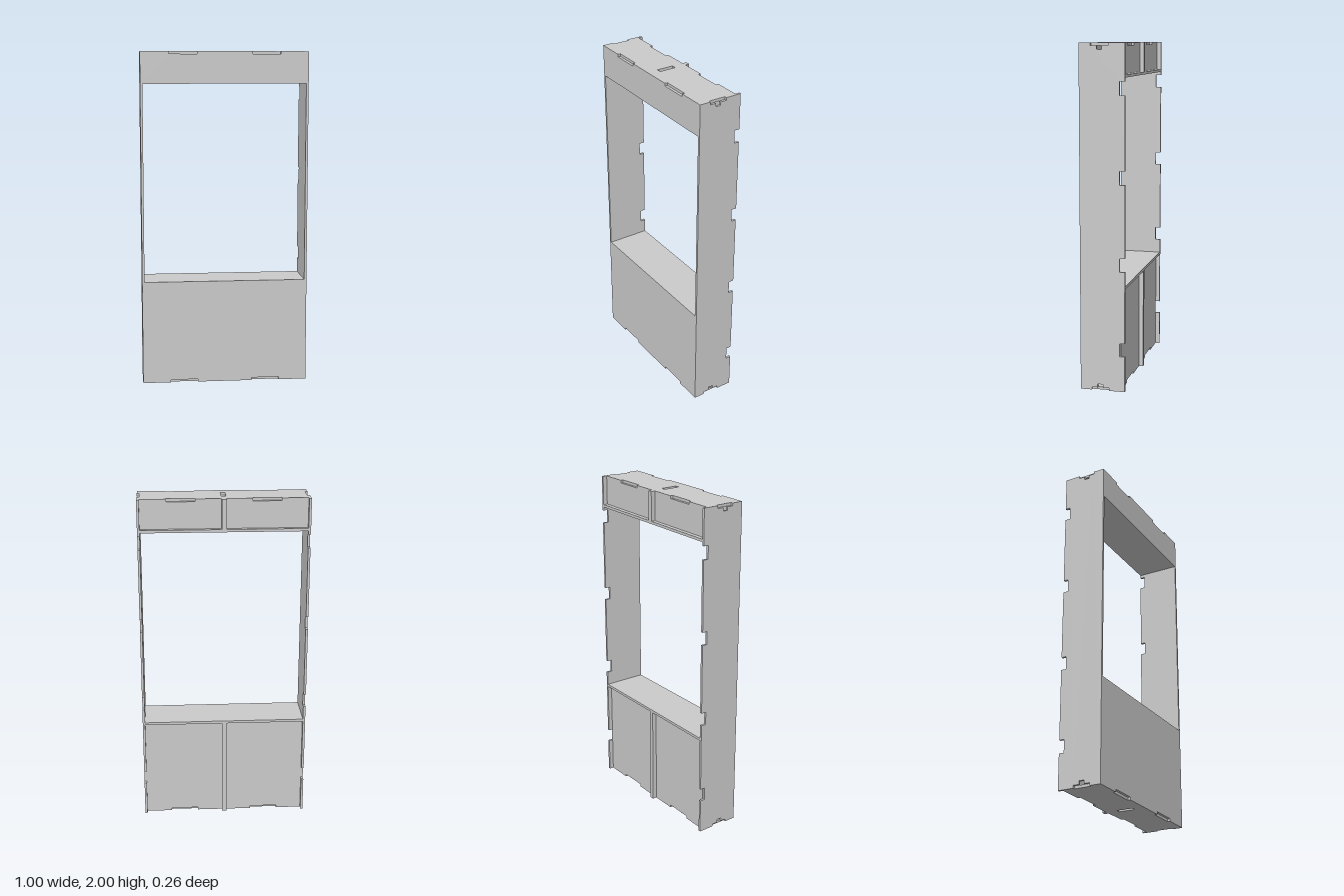
import * as THREE from 'three';

const H = 2, W = 0.5, D = 0.132, T = 0.016;      // height, half width, half depth, board thickness
const SIDE = 0.014;                              // side wall thickness and half rib width
const BACK = -0.106;                             // outer face of the recessed back panels
const WIN = { bottom: 0.625, top: 1.81, x: W - SIDE };
const TAB = [0.165, 0.332];                      // joint notches along the width
const SLOT = [-0.037, 0.065], KEY = [-0.001, 0.03], KEY_DEPTH = 0.036;

const material = new THREE.MeshStandardMaterial({ color: 0xcccccc, flatShading: true });

const toShape = pts => new THREE.Shape(pts.map(p => new THREE.Vector2(...p)));
const rect = (x0, y0, x1, y1) => [[x0, y0], [x1, y0], [x1, y1], [x0, y1]];
// Mirrors a right-hand half outline (bottom to top) across x = 0
const mirrored = half => [...half, ...half.map(([x, y]) => [-x, y]).reverse()];
// A pair of corners per notch cut to height "cut" in an edge at height "edge"
const notch = (a, b, edge, cut) => [[a, edge], [a, cut], [b, cut], [b, edge]];

function extrude(shape, depth) {
  return new THREE.ExtrudeGeometry(shape, { depth, bevelEnabled: false });
}

export function createModel() {
  const group = new THREE.Group();
  const add = (name, geometry) => {
    const mesh = new THREE.Mesh(geometry, material);
    mesh.name = name;
    group.add(mesh);
    return mesh;
  };

  // Front panel with window and joint notches
  const front = toShape(mirrored([
    ...notch(...TAB, 0, T), [W, 0], [W, H],
    ...notch(TAB[1], TAB[0], H, H - T)]));
  front.holes.push(toShape(rect(-WIN.x, WIN.bottom, WIN.x, WIN.top)));
  add('frontPanel', extrude(front, T)).position.z = D - T;

  // Recessed back panels below and above the window
  const lower = toShape(mirrored([
    ...notch(...TAB, 0, T), [WIN.x, 0], [WIN.x, WIN.bottom]]));
  const upper = toShape(mirrored([
    [WIN.x, WIN.top], [WIN.x, H], ...notch(TAB[1], TAB[0], H, H - T)]));
  add('lowerBackPanel', extrude(lower, T)).position.z = BACK;
  add('upperBackPanel', extrude(upper, T)).position.z = BACK;

  // Top and bottom boards, slotted at the middle and at both ends
  const lid = toShape(mirrored([
    ...notch(...TAB, BACK, BACK + T), [W, BACK],
    [W, SLOT[0]], [WIN.x, SLOT[0]], [WIN.x, SLOT[1]], [W, SLOT[1]],
    [W, D], ...notch(TAB[1], TAB[0], D, D - T)]));
  lid.holes.push(toShape(rect(-SIDE, SLOT[0], SIDE, SLOT[1])));
  const lidGeometry = extrude(lid, T).rotateX(Math.PI / 2);
  add('topBoard', lidGeometry).position.y = H;
  add('bottomBoard', lidGeometry).position.y = T;

  // Window sill and header reaching to the back edge
  const shelf = new THREE.BoxGeometry(2 * WIN.x, T, 2 * D);
  add('windowSill', shelf).position.y = WIN.bottom - T / 2;
  add('windowHeader', shelf).position.y = WIN.top + T / 2;

  // Stepped slots in the ends of the upright boards, in (z, y)
  const bottomSlot = [
    [SLOT[0], 0], [SLOT[0], T], [KEY[0], T], [KEY[0], KEY_DEPTH],
    [KEY[1], KEY_DEPTH], [KEY[1], T], [SLOT[1], T], [SLOT[1], 0]];
  const topSlot = bottomSlot.map(([z, y]) => [z, H - y]).reverse();

  // Side walls with four notches down the back edge
  const backNotches = [1.75, 1.25, 0.75, 0.25].flatMap(y =>
    [[-D, y + 0.039], [-0.101, y + 0.039], [-0.101, y - 0.039], [-D, y - 0.039]]);
  const side = toShape([
    [-D, 0], ...bottomSlot, [D, 0], [D, H], ...topSlot, [-D, H], ...backNotches]);
  const sideGeometry = extrude(side, SIDE).rotateY(-Math.PI / 2);
  add('leftSide', sideGeometry).position.x = W;
  add('rightSide', sideGeometry).position.x = -W + SIDE;

  // Centre ribs below and above the window
  const front0 = D - T;
  const lowerRib = toShape([
    [-D, 0], ...bottomSlot, [front0, 0], [front0, WIN.bottom - T], [-D, WIN.bottom - T]]);
  const upperRib = toShape([
    [-D, WIN.top + T], [front0, WIN.top + T], [front0, H], ...topSlot, [-D, H]]);
  for (const [name, shape] of [['lowerRib', lowerRib], ['upperRib', upperRib]]) {
    add(name, extrude(shape, 2 * SIDE).rotateY(-Math.PI / 2)).position.x = SIDE;
  }

  return group;
}
